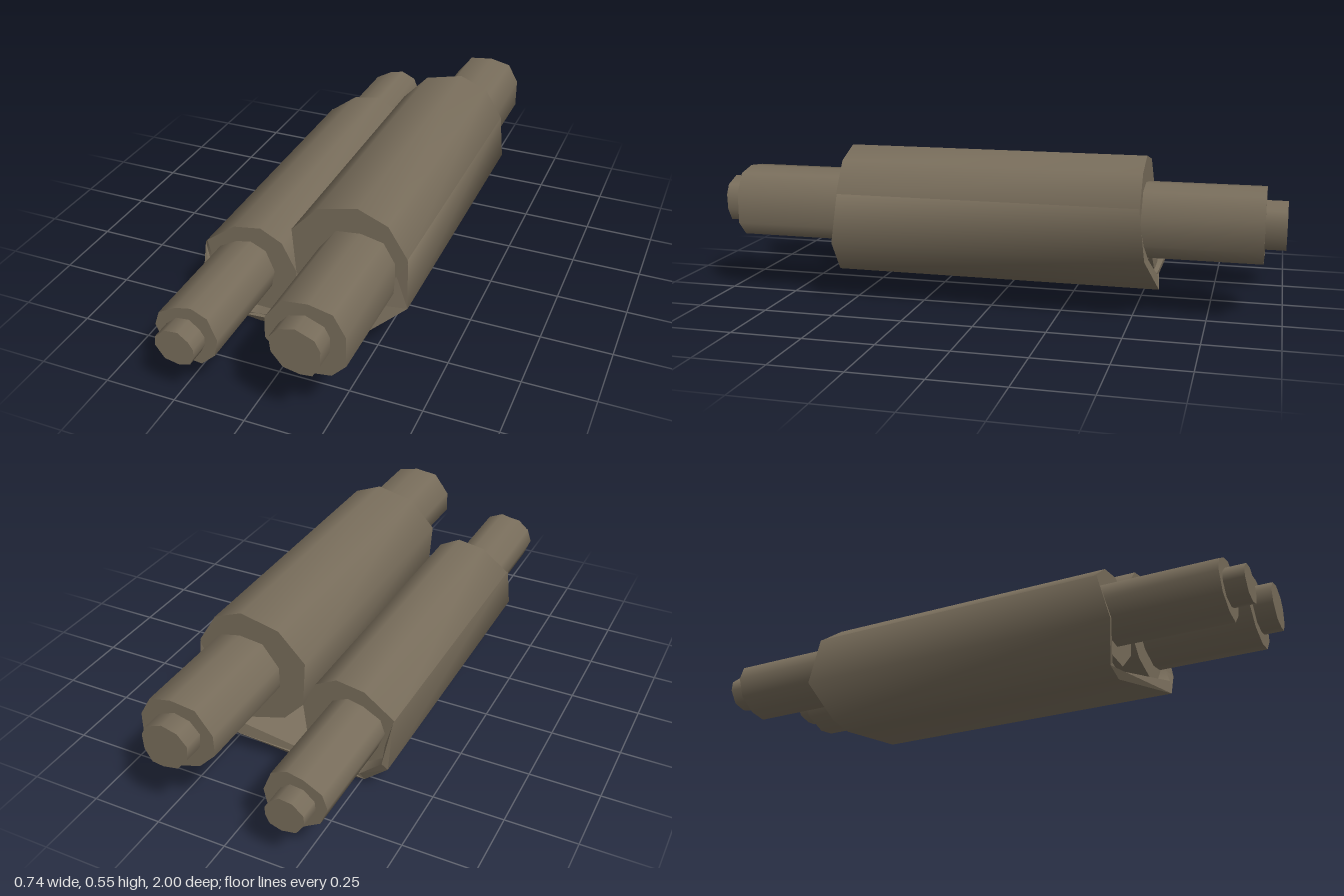
import * as THREE from 'three';

const parchment = new THREE.MeshStandardMaterial({ color: 0x786d5b });
parchment.name = 'agedParchment';

// Prism along z, mirrored front to back: smooth sides and flat end caps.
// Each outline point is [x, y] or [x, y, halfLength].
function prism(name, outline, halfLength) {
  const pts = outline.map(([x, y, z = halfLength]) => ({ v: new THREE.Vector2(x, y), z }));
  if (THREE.ShapeUtils.isClockWise(pts.map((p) => p.v))) pts.reverse();
  const n = pts.length;
  const side = [];
  const sideIndex = [];
  pts.forEach(({ v, z }, i) => {
    side.push(v.x, v.y, z, v.x, v.y, -z);
    const a = 2 * i;
    const b = 2 * ((i + 1) % n);
    sideIndex.push(a, a + 1, b + 1, a, b + 1, b);
  });
  const sides = new THREE.BufferGeometry();
  sides.setAttribute('position', new THREE.Float32BufferAttribute(side, 3));
  sides.setIndex(sideIndex);
  sides.computeVertexNormals();

  const cap = [];
  for (const [a, b, c] of THREE.ShapeUtils.triangulateShape(pts.map((p) => p.v), [])) {
    for (const i of [a, b, c]) cap.push(pts[i].v.x, pts[i].v.y, pts[i].z);
    for (const i of [c, b, a]) cap.push(pts[i].v.x, pts[i].v.y, -pts[i].z);
  }
  const caps = new THREE.BufferGeometry();
  caps.setAttribute('position', new THREE.Float32BufferAttribute(cap, 3));
  caps.computeVertexNormals();

  const group = new THREE.Group();
  group.name = name;
  for (const [part, geometry] of [['Sides', sides], ['Ends', caps]]) {
    const mesh = new THREE.Mesh(geometry, parchment);
    mesh.name = name + part;
    group.add(mesh);
  }
  return group;
}

export function createModel() {
  const model = new THREE.Group();
  model.name = 'openScroll';

  // Rolled-up paper
  model.add(prism('largeRoll', [
    [-0.045, 0.415], [0.05, 0.515], [0.19, 0.547], [0.293, 0.505], [0.36, 0.397],
    [0.345, 0.24], [0.275, 0.19], [0.18, 0.125], [0.042, 0.167], [-0.033, 0.247],
  ], 0.53));
  model.add(prism('smallRoll', [
    [-0.368, 0.292], [-0.26, 0.372], [-0.16, 0.388], [-0.083, 0.348], [-0.033, 0.247],
    [-0.045, 0.14], [-0.133, 0.064], [-0.235, 0.068], [-0.335, 0.13], [-0.352, 0.2],
  ], 0.53));

  // Loose sheet slung under both rolls, its ends flaring outward
  model.add(prism('looseSheet', [
    [-0.368, 0.292, 0.54], [-0.37, 0.13, 0.58], [-0.265, 0.015, 0.535], [-0.178, 0, 0.53],
    [0.215, 0.088, 0.585], [0.37, 0.222, 0.55], [0.36, 0.397, 0.528],
    [0.32, 0.33, 0.528], [0.275, 0.21, 0.55], [0.22, 0.14, 0.58],
    [-0.19, 0.028, 0.53], [-0.245, 0.032, 0.535], [-0.345, 0.14, 0.575], [-0.345, 0.2, 0.55],
  ], 0.53));

  // Rods through the rolls, each with a narrower tip
  model.add(prism('largeRod', [
    [0.113, 0.447], [0.2, 0.457], [0.278, 0.44], [0.318, 0.37], [0.318, 0.263],
    [0.27, 0.213], [0.2, 0.202], [0.113, 0.232], [0.053, 0.295], [0.055, 0.37],
  ], 0.93));
  model.add(prism('largeRodTip', [
    [0.135, 0.4], [0.19, 0.414], [0.25, 0.39], [0.268, 0.355], [0.265, 0.3],
    [0.24, 0.257], [0.2, 0.252], [0.145, 0.263], [0.107, 0.31], [0.102, 0.362],
  ], 1));
  model.add(prism('smallRod', [
    [-0.255, 0.315], [-0.2, 0.327], [-0.145, 0.302], [-0.115, 0.228], [-0.128, 0.165],
    [-0.178, 0.118], [-0.245, 0.125], [-0.31, 0.165], [-0.335, 0.23], [-0.318, 0.28],
  ], 0.93));
  model.add(prism('smallRodTip', [
    [-0.255, 0.277], [-0.21, 0.282], [-0.175, 0.255], [-0.16, 0.23], [-0.16, 0.2],
    [-0.175, 0.17], [-0.215, 0.157], [-0.265, 0.167], [-0.295, 0.21], [-0.292, 0.245],
  ], 1));

  return model;
}
